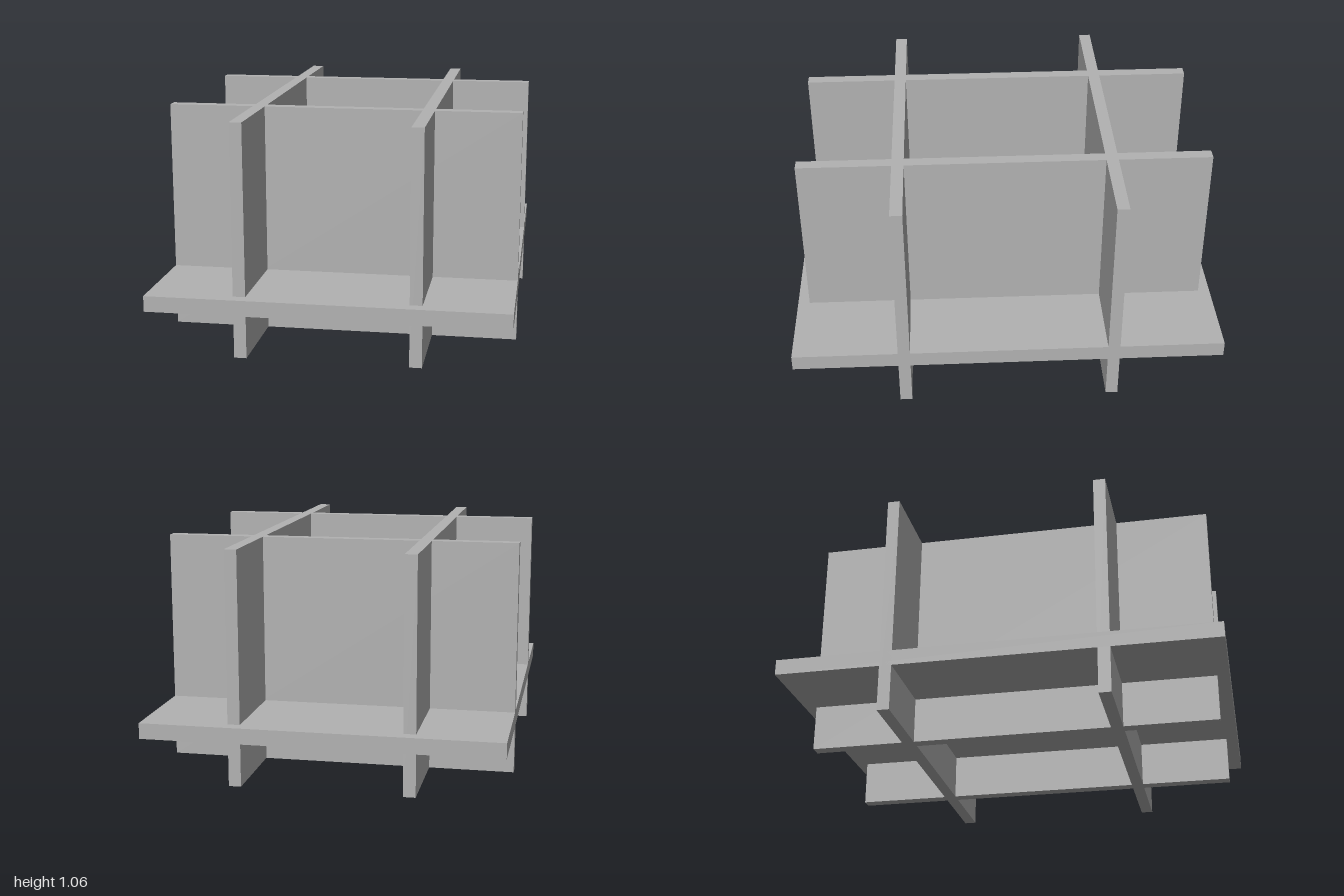
import * as THREE from 'three';

export function createModel() {
  const model = new THREE.Group();
  const grey = new THREE.MeshStandardMaterial({ color: 0xb2b2b2 });
  grey.name = 'plainGrey';

  const WIDTH = 1.62, LENGTH = 2, HEIGHT = 1.06;
  const WALL = 0.056;

  // Box centred on x and z, with its underside at the given height
  function addPanel(name, [w, h, d], x, bottom, z) {
    const mesh = new THREE.Mesh(new THREE.BoxGeometry(w, h, d), grey);
    mesh.name = name;
    mesh.position.set(x, bottom + h / 2, z);
    model.add(mesh);
  }

  // Horizontal plate through which the upright panels pass
  addPanel('basePlate', [WIDTH, 0.072, LENGTH], 0, 0.212, 0);

  // Two upright panels each way, interlocking in a grid
  for (const side of [-1, 1]) {
    addPanel(side > 0 ? 'leftLongPanel' : 'rightLongPanel',
      [WALL, HEIGHT, 1.89], side * 0.391, 0, 0);
    addPanel(side > 0 ? 'frontCrossPanel' : 'backCrossPanel',
      [WIDTH, HEIGHT, WALL], 0, 0, side * 0.486);
  }
  return model;
}
